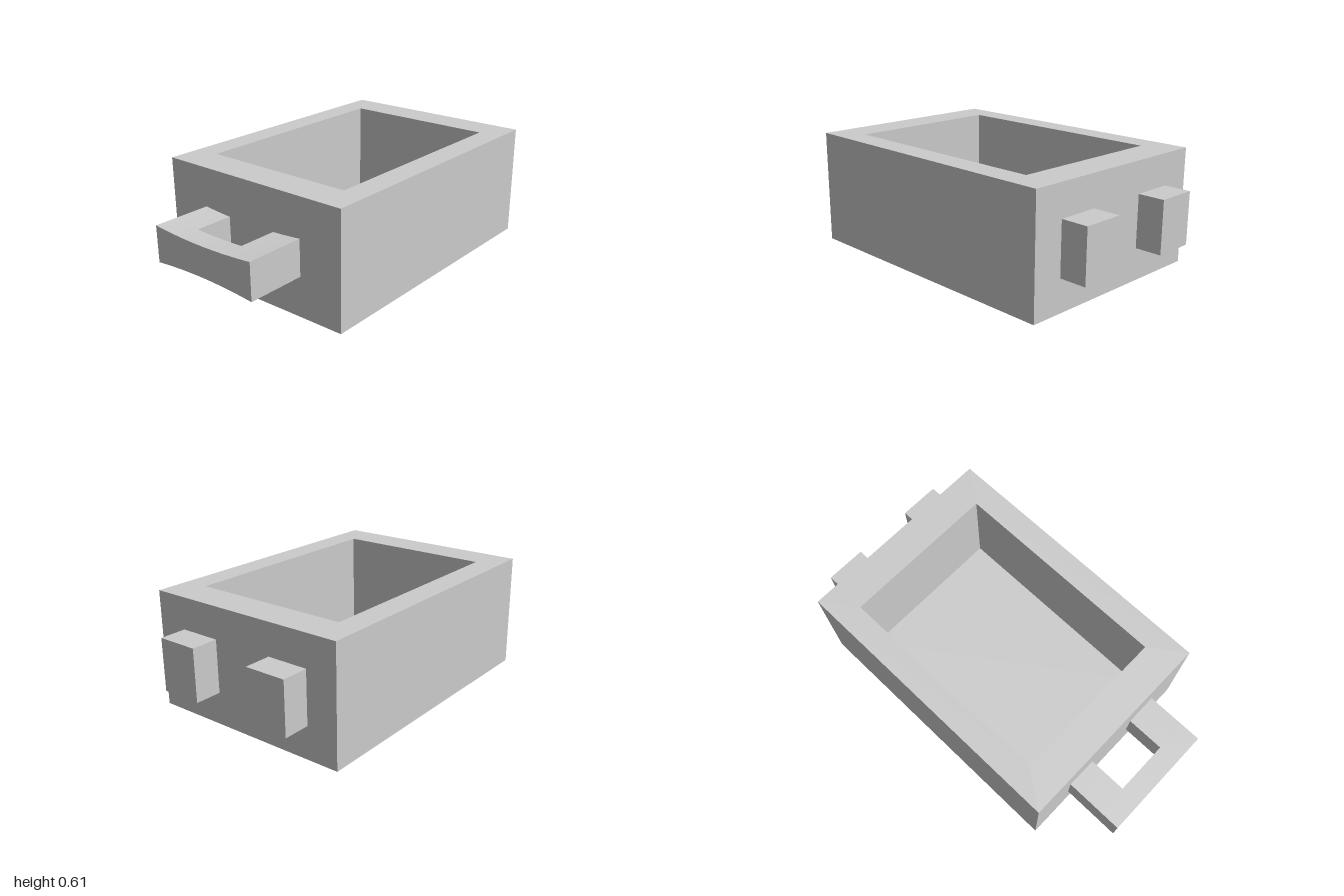
import * as THREE from 'three';

const material = new THREE.MeshStandardMaterial({ color: 0xcccccc });

function addMesh(parent, name, geometry) {
  const mesh = new THREE.Mesh(geometry, material);
  mesh.name = name;
  parent.add(mesh);
  return mesh;
}

// Box given by its minimum and maximum corners
function boxBetween([x0, y0, z0], [x1, y1, z1], zSegments = 1) {
  const g = new THREE.BoxGeometry(x1 - x0, y1 - y0, z1 - z0, 1, 1, zSegments);
  return g.translate((x0 + x1) / 2, (y0 + y1) / 2, (z0 + z1) / 2);
}

// Open tray: rectangular rings run up the outside, over the rim and down the pocket
function trayGeometry() {
  const ring = (x0, x1, z, y) => [[x0, y, z], [x1, y, z], [x1, y, -z], [x0, y, -z]];
  const rings = [
    ring(-0.69, 0.86, 0.55, 0),
    ring(-0.69, 0.86, 0.55, 0.605),
    ring(-0.51, 0.68, 0.42, 0.605),
    ring(-0.51, 0.68, 0.42, 0.1),
  ];
  const positions = [];
  const quad = (a, b, c, d) => positions.push(...a, ...b, ...c, ...a, ...c, ...d);
  for (let r = 0; r < rings.length - 1; r++) {
    for (let i = 0; i < 4; i++) {
      const j = (i + 1) % 4;
      quad(rings[r][i], rings[r][j], rings[r + 1][j], rings[r + 1][i]);
    }
  }
  quad(...rings[3]); // pocket floor
  quad(...rings[0].slice().reverse()); // underside
  const g = new THREE.BufferGeometry();
  g.setAttribute('position', new THREE.Float32BufferAttribute(positions, 3));
  g.computeVertexNormals();
  return g;
}

// Slim the handle gently towards the middle of its width
function waist(geometry) {
  const p = geometry.attributes.position;
  const middle = 0.305, half = 0.31, dip = 0.016;
  for (let i = 0; i < p.count; i++) {
    const t = p.getZ(i) / half;
    p.setY(i, p.getY(i) - Math.sign(p.getY(i) - middle) * dip * (1 - t * t));
  }
  geometry.computeVertexNormals();
  return geometry;
}

export function createModel() {
  const model = new THREE.Group();
  model.name = 'tray';
  addMesh(model, 'body', trayGeometry());

  // U-shaped handle on the -x end
  const handle = new THREE.Group();
  handle.name = 'handle';
  model.add(handle);
  const low = 0.21, high = 0.4;
  addMesh(handle, 'grip', waist(boxBetween([-1, low, -0.31], [-0.89, high, 0.31], 24)));
  addMesh(handle, 'backArm', waist(boxBetween([-0.89, low, -0.31], [-0.69, high, -0.145], 6)));
  addMesh(handle, 'frontArm', waist(boxBetween([-0.89, low, 0.145], [-0.69, high, 0.31], 6)));

  // Two pegs on the +x end
  for (const [name, z] of [['frontPeg', 0.276], ['backPeg', -0.276]]) {
    addMesh(model, name, boxBetween([0.86, 0.168, z - 0.109], [1, 0.44, z + 0.109]));
  }
  return model;
}
